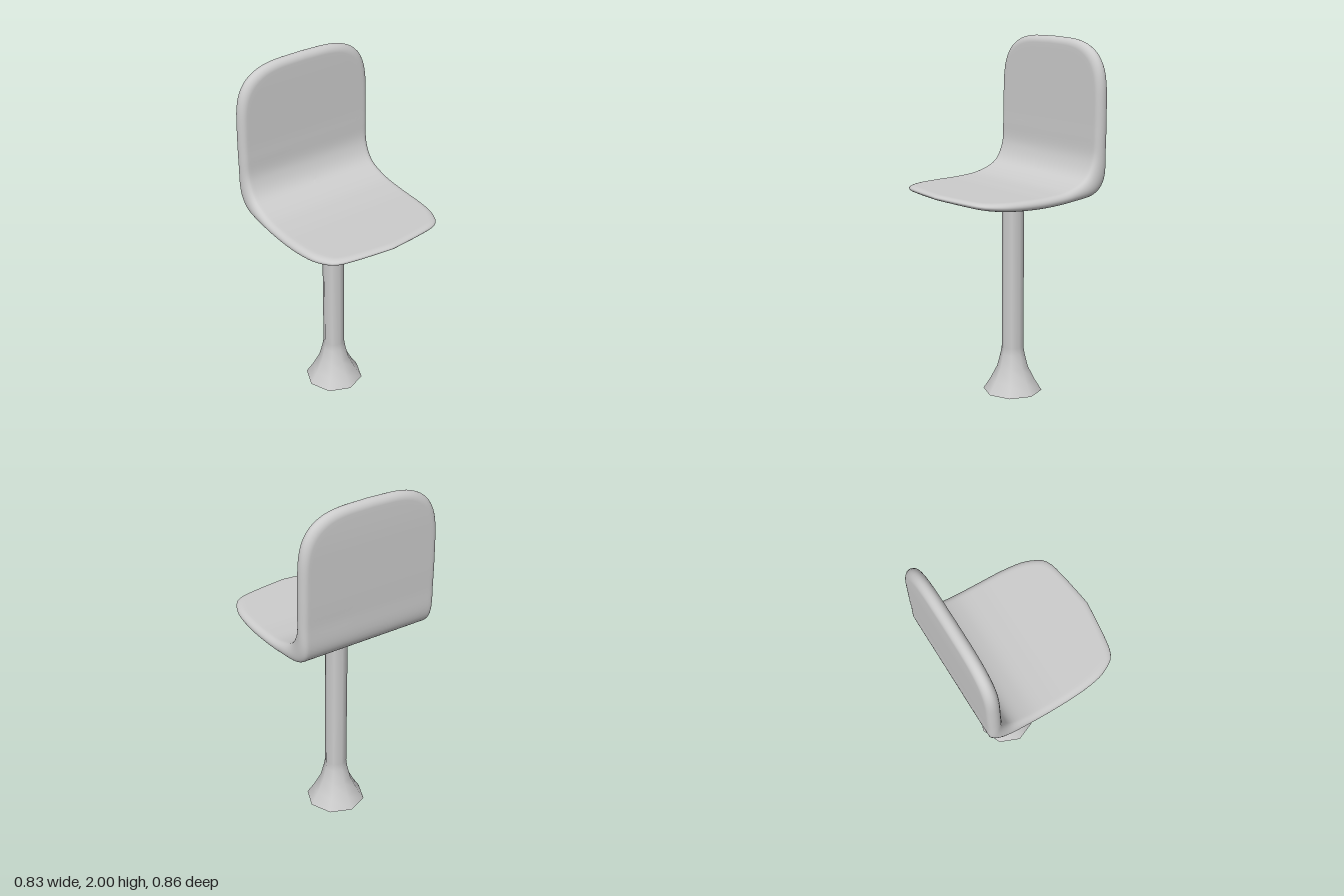
import * as THREE from 'three';

const material = new THREE.MeshStandardMaterial({ color: 0xcccccc });
const spline = (pts) => new THREE.CatmullRomCurve3(pts.map(([a, b]) => new THREE.Vector3(0, b, a)));

// Side profiles (z, y) of the shell, from the front lip round to the top of the back
const inner = spline([
  [0.43, 1.207], [0.28, 1.203], [0.13, 1.2], [-0.02, 1.2], [-0.17, 1.215], [-0.285, 1.265],
  [-0.338, 1.36], [-0.348, 1.5], [-0.35, 1.66], [-0.351, 1.83], [-0.353, 2.0]]);
const outer = spline([
  [0.43, 1.178], [0.28, 1.158], [0.13, 1.147], [-0.02, 1.144], [-0.19, 1.153], [-0.355, 1.178],
  [-0.414, 1.24], [-0.424, 1.42], [-0.426, 1.65], [-0.426, 1.83], [-0.42, 2.0]]);

// Half outline of the unrolled shell: x against position along the profile (0 front, 1 top)
const LENGTH = 1.5;
const halfOutline = new THREE.CatmullRomCurve3([
  [0, 0], [0.1, 0.008], [0.2, 0.017], [0.3, 0.031], [0.34, 0.047], [0.366, 0.073], [0.391, 0.113],
  [0.408, 0.187], [0.414, 0.29], [0.414, 0.55], [0.414, 0.8], [0.408, 0.87], [0.39, 0.915],
  [0.35, 0.953], [0.28, 0.981], [0.19, 0.995], [0, 1],
].map(([x, t]) => new THREE.Vector3(x, t * LENGTH, 0)));

function shellGeometry() {
  const half = halfOutline.getSpacedPoints(72).map((p) => [p.x, p.y / LENGTH]);
  const mirrored = half.slice(1, -1).reverse().map(([x, t]) => [-x, t]);
  const outline = [...half, ...mirrored];
  const n = outline.length;

  // Rings run from the middle of the seat face, over the rounded rim, to the middle of the underside
  const rings = [];
  const flat = 28, round = 6;
  for (let k = 0; k < flat; k++) rings.push({ scale: k / flat, angle: Math.PI / 2 });
  for (let k = round; k >= -round; k--) rings.push({ scale: 1, angle: (k / round) * Math.PI / 2 });
  for (let k = flat - 1; k >= 0; k--) rings.push({ scale: k / flat, angle: -Math.PI / 2 });

  const positions = [], indices = [];
  rings.forEach(({ scale, angle }, j) => {
    const inset = 1 - Math.cos(angle), side = (1 + Math.sin(angle)) / 2;
    outline.forEach(([x, t], i) => {
      const px = x * scale * (1 - 0.085 * inset);
      const pt = 0.5 + (t - 0.5) * scale * (1 - 0.045 * inset);
      const p = outer.getPoint(pt).lerp(inner.getPoint(pt), side);
      positions.push(px, p.y, p.z);
      if (j === rings.length - 1) return;
      const a = j * n + i, b = j * n + (i + 1) % n;
      indices.push(a, a + n, b + n, a, b + n, b);
    });
  });
  const geometry = new THREE.BufferGeometry();
  geometry.setAttribute('position', new THREE.Float32BufferAttribute(positions, 3));
  geometry.setIndex(indices);
  geometry.computeVertexNormals();
  return geometry;
}

export function createModel() {
  const model = new THREE.Group();
  model.name = 'barStool';
  const add = (parent, name, geometry) => {
    const mesh = new THREE.Mesh(geometry, material);
    mesh.name = name;
    parent.add(mesh);
    return mesh;
  };

  // One-piece seat and back
  add(model, 'seatShell', shellGeometry());

  // Eight-sided pedestal with a flared foot
  const pedestal = new THREE.Group();
  pedestal.name = 'pedestal';
  pedestal.position.set(-0.005, 0, -0.105);
  const profile = [[0.167, 0], [0.126, 0.065], [0.088, 0.14], [0.068, 0.22], [0.062, 0.26], [0.062, 1.17]]
    .map(([r, y]) => new THREE.Vector2(r, y));
  add(pedestal, 'column', new THREE.LatheGeometry(profile, 8));
  add(pedestal, 'footUnderside', new THREE.CircleGeometry(0.167, 8)).rotation.x = Math.PI / 2;
  model.add(pedestal);

  return model;
}
